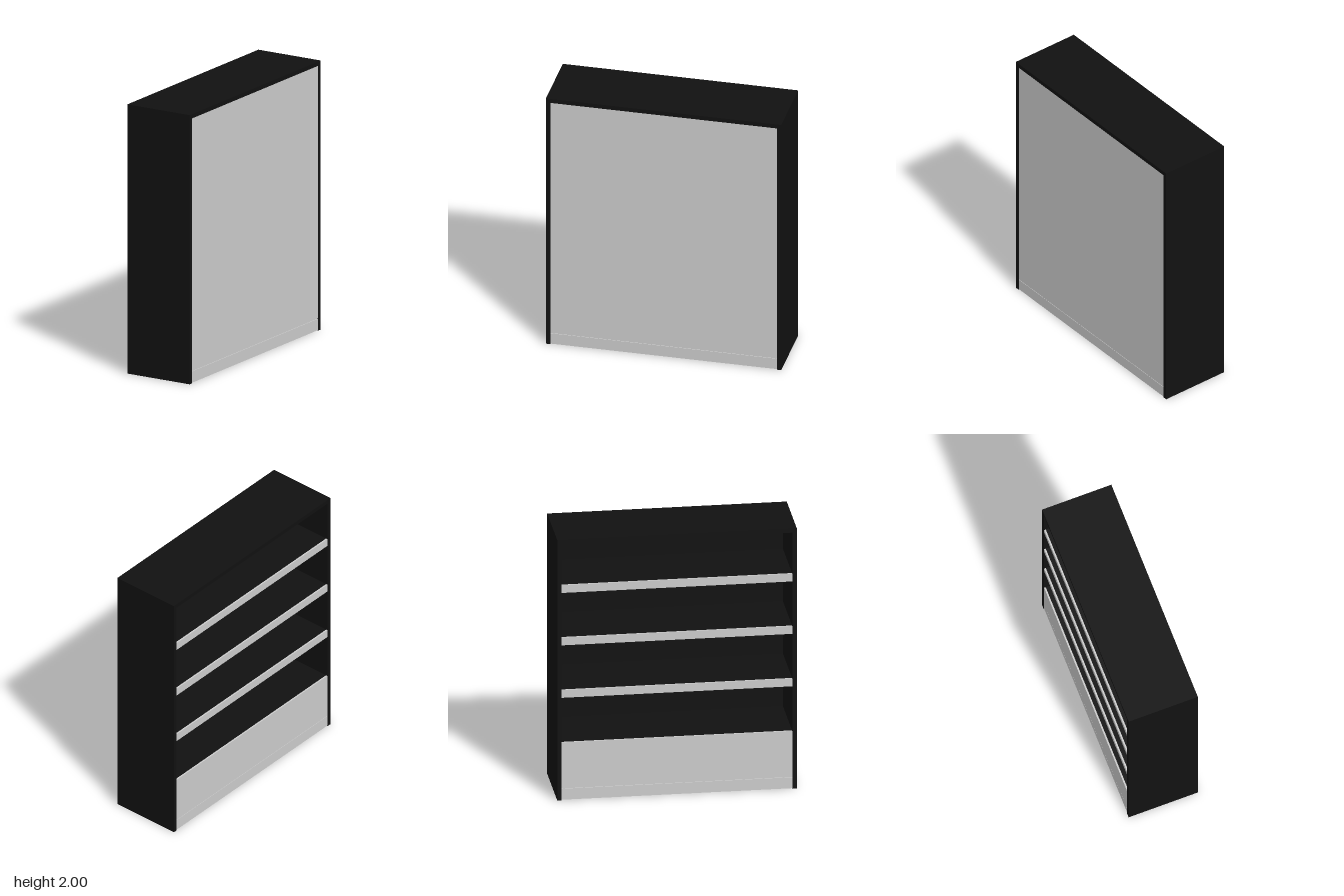
import * as THREE from 'three';

export function createModel() {
  const model = new THREE.Group();
  const black = new THREE.MeshStandardMaterial({ color: 0x111111 });
  const grey = new THREE.MeshStandardMaterial({ color: 0xcccccc });

  const X = 0.265, Z = 0.865, H = 2, T = 0.032; // half depth, half width, height, board
  const inset = 0.003;                          // recess of the infill from the carcass edge
  const edge = 0.012;                           // thickness of grey edging and facings
  const innerW = 2 * (Z - T);

  // Box given by its x range, y range, width along z and centre z
  function board(name, x0, x1, y0, y1, width, material, z = 0) {
    const mesh = new THREE.Mesh(new THREE.BoxGeometry(x1 - x0, y1 - y0, width), material);
    mesh.position.set((x0 + x1) / 2, (y0 + y1) / 2, z);
    mesh.name = name;
    model.add(mesh);
  }

  // Carcass: two full-height sides and a top between them
  for (const s of [1, -1]) {
    board(s > 0 ? 'frontSide' : 'backSide', -X, X, 0, H, T, black, s * (Z - T / 2));
  }
  board('top', -X, X, H - T, H, innerW, black);

  const open = -X + inset, closed = X - inset;
  const plinthTop = 0.09, gap = 0.003;

  // Plinth, with a fine joint above it
  board('plinth', open, closed, 0.003, plinthTop - gap, innerW, grey);

  // Closed face: grey outside, black lining inside
  board('closingPanel', closed - edge, closed, plinthTop, H - T, innerW, grey);
  board('panelLining', closed - 2 * edge, closed - edge, plinthTop, H - T, innerW, black);

  // Base cabinet with a grey facing on the open side
  const inner = closed - 2 * edge, baseTop = 0.443;
  board('baseCabinet', open + edge, inner, plinthTop - gap, baseTop, innerW, black);
  board('baseFacing', open, open + edge, plinthTop, baseTop, innerW, grey);

  // Shelves with grey edging
  for (let i = 1; i <= 3; i++) {
    const y = baseTop + i * 0.403;
    board('shelf' + i, open + edge, inner, y - 0.06, y, innerW, black);
    board('shelfEdging' + i, open, open + edge, y - 0.06, y, innerW, grey);
  }
  return model;
}
